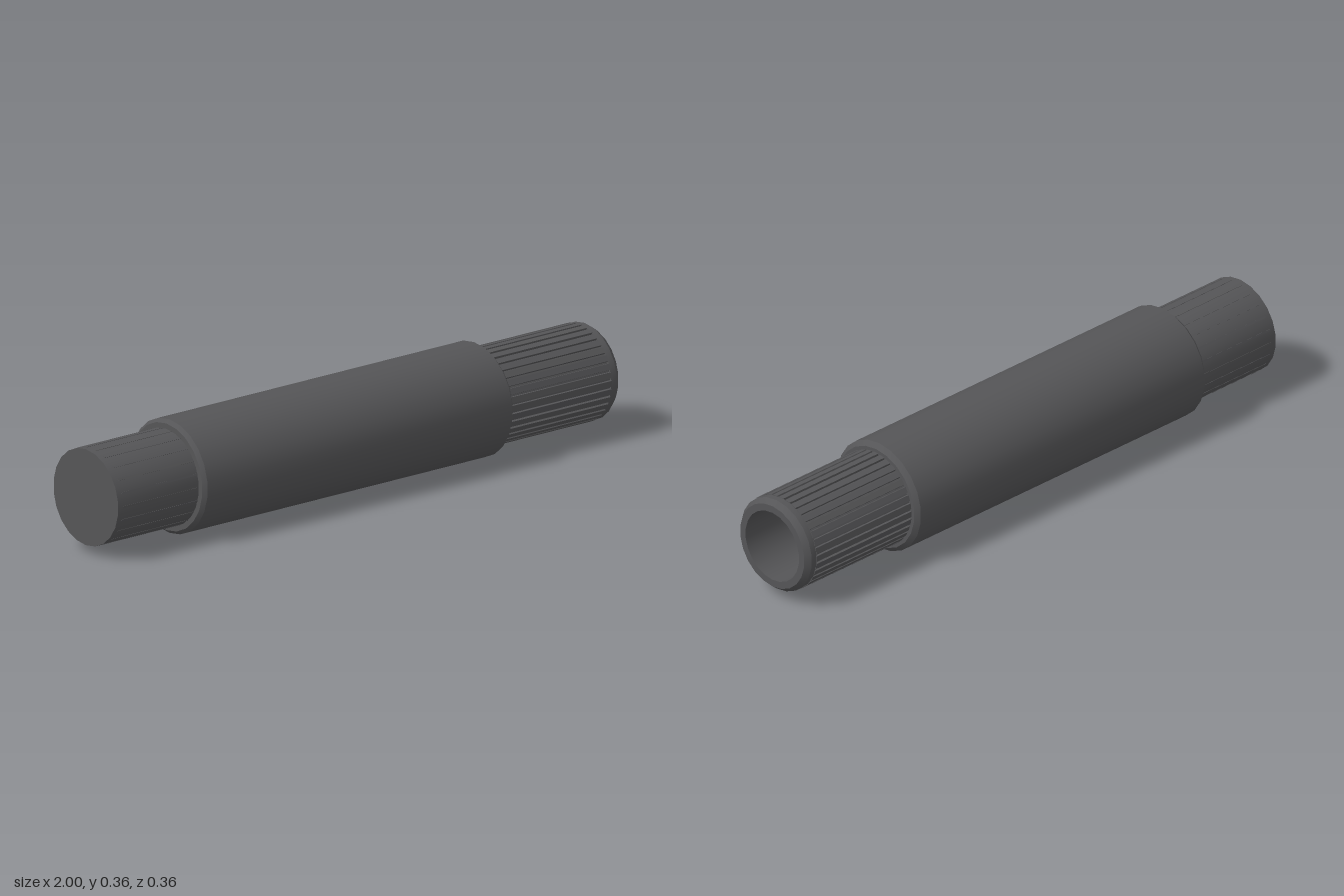
import * as THREE from 'three';
import { toCreasedNormals } from 'three/addons/utils/BufferGeometryUtils.js';

const CENTRE_Y = 0.181;
const SIDES = 22;

export function createModel() {
  const group = new THREE.Group();
  const steel = new THREE.MeshStandardMaterial({ color: 0x555557 });

  const add = (name, geometry) => {
    const mesh = new THREE.Mesh(geometry, steel);
    mesh.name = name;
    mesh.position.y = CENTRE_Y;
    group.add(mesh);
    return mesh;
  };

  // Turned part along x, from a profile of [x, radius]
  const turned = (name, profile) => {
    const points = profile.map(([x, r]) => new THREE.Vector2(r, x));
    const geometry = new THREE.LatheGeometry(points, SIDES, Math.PI / 2);
    geometry.rotateZ(-Math.PI / 2);
    return add(name, toCreasedNormals(geometry, Math.PI / 6));
  };

  // Ring of teeth along x, with narrow grooves between them
  const splined = (name, x0, x1, root, tip, teeth, grooveShare) => {
    const shape = new THREE.Shape();
    const pitch = (Math.PI * 2) / teeth;
    const half = (pitch * (1 - grooveShare)) / 2;
    const gap = pitch / 2 - half;
    for (let i = 0; i < teeth; i++) {
      const a = i * pitch;
      const corners = [[a - half, tip], [a + half, tip], [a + half + gap * 0.3, root], [a + pitch - half - gap * 0.3, root]];
      corners.forEach(([t, r], j) => {
        const x = r * Math.cos(t), y = r * Math.sin(t);
        if (i + j === 0) shape.moveTo(x, y);
        else shape.lineTo(x, y);
      });
    }
    shape.closePath();
    const hole = new THREE.Path();
    hole.absarc(0, 0, 0.12, 0, Math.PI * 2, true);
    shape.holes.push(hole);
    const geometry = new THREE.ExtrudeGeometry(shape, { depth: x1 - x0, bevelEnabled: false, curveSegments: SIDES });
    geometry.rotateY(Math.PI / 2);
    geometry.translate(x0, 0, 0);
    return add(name, geometry);
  };

  // Main sleeve with chamfered ends
  turned('sleeve', [
    [-0.68, 0.13], [-0.68, 0.17], [-0.668, 0.181],
    [0.543, 0.181], [0.557, 0.166], [0.557, 0.13],
  ]);

  // Closed end of the shaft
  turned('closedShaft', [[-1, 0], [-1, 0.153], [-0.67, 0.153]]);

  // Fine ribs on the closed end
  const ribs = 22;
  for (let i = 0; i < ribs; i++) {
    const a = ((i + 0.5) / ribs) * Math.PI * 2;
    const geometry = new THREE.BoxGeometry(0.3, 0.004, 0.006);
    geometry.translate(-0.83, 0.1505, 0);
    geometry.rotateX(a);
    add('fineRib', geometry);
  }

  // Splined end of the shaft
  splined('splines', 0.55, 0.962, 0.147, 0.154, 36, 0.3);

  // Chamfered tip and the open bore
  turned('boredTip', [
    [0.96, 0.13], [0.96, 0.153], [0.982, 0.153], [1, 0.139],
    [1, 0.116], [0.5, 0.116], [0.5, 0],
  ]);

  return group;
}
